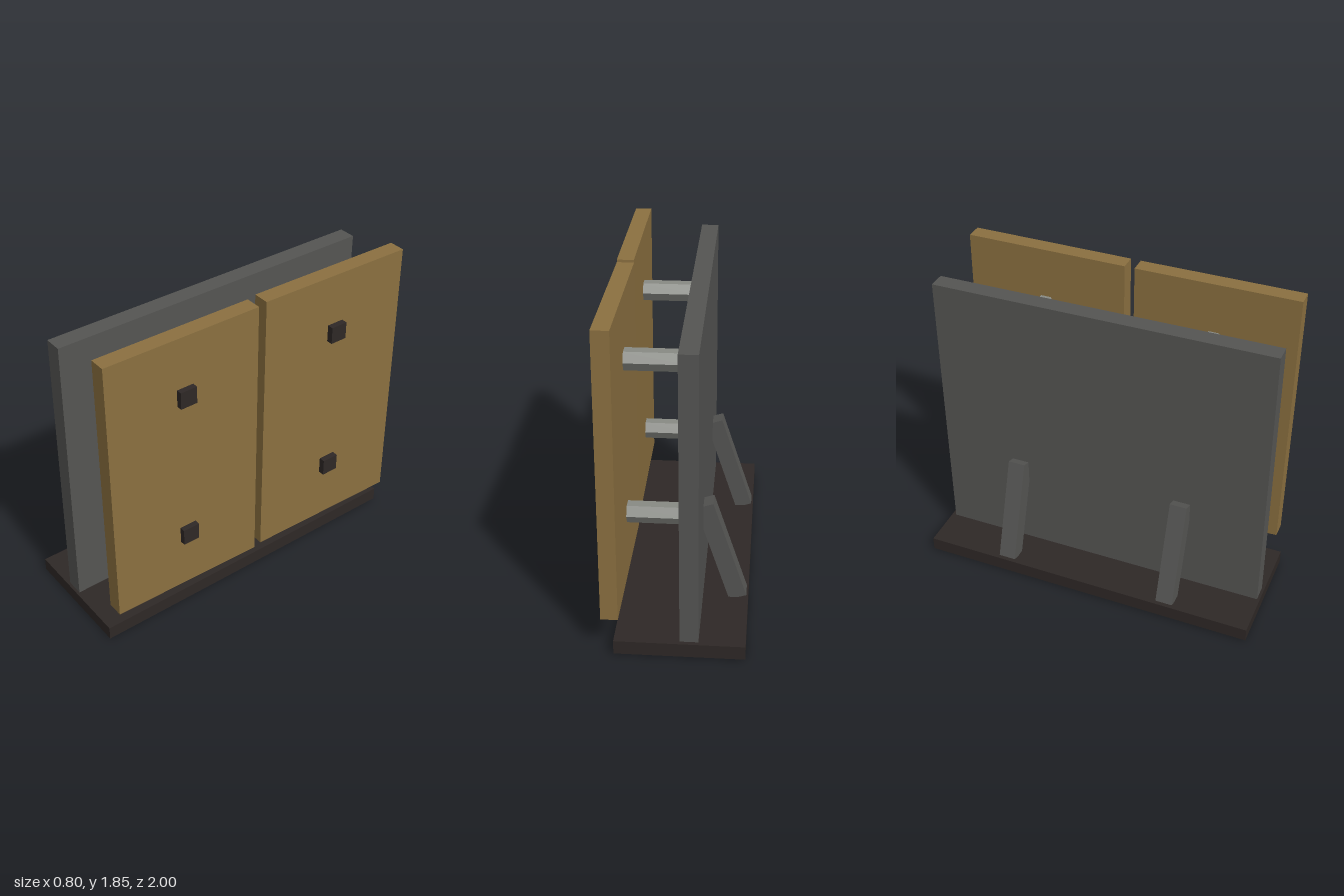
import * as THREE from 'three';

const paint = (color) => new THREE.MeshStandardMaterial({ color, flatShading: true });

export function createModel() {
  const model = new THREE.Group();
  const dark = paint(0x2e2826);
  const steel = paint(0x555553);
  const rodGrey = paint(0x888a84);
  const wood = paint(0x8b7040);

  function add(name, geometry, material, x, y, z) {
    const mesh = new THREE.Mesh(geometry, material);
    mesh.name = name;
    mesh.position.set(x, y, z);
    model.add(mesh);
    return mesh;
  }

  // Ground plate
  add('base', new THREE.BoxGeometry(0.7, 0.08, 2), dark, -0.05, 0.05, 0);

  // Upright wall, slightly out of true
  const wall = add('backPlate', new THREE.BoxGeometry(0.1, 1.74, 1.96), steel, -0.093, 0.88, 0);
  wall.rotation.set(-0.005, 0.005, -0.003);

  // Roughly cut timber panels: outline corners as [z, y], extruded along x
  function panel(name, corners, yaw, x) {
    const zMid = corners.reduce((sum, c) => sum + c[0], 0) / corners.length;
    const shape = new THREE.Shape(corners.map(([z, y]) => new THREE.Vector2(zMid - z, y)));
    const geometry = new THREE.ExtrudeGeometry(shape, { depth: 0.093, bevelEnabled: false });
    geometry.translate(0, 0, -0.0465).rotateY(Math.PI / 2);
    add(name, geometry, wood, x, 0, zMid).rotation.y = yaw;
  }
  panel('frontPanel', [[0.967, 0.235], [0.03, 0.21], [0.035, 1.845], [0.97, 1.85]], 0, 0.321);
  panel('rearPanel', [[-0.02, 0.215], [-0.97, 0.205], [-0.965, 1.845], [-0.02, 1.85]], -0.009, 0.318);

  for (const z of [-0.5, 0.5]) {
    // Hexagonal spacer rods and their square bolt heads
    for (const y of [0.59, 1.5]) {
      const rod = new THREE.CylinderGeometry(0.06, 0.06, 0.38, 6).rotateZ(Math.PI / 2);
      add('spacerRod', rod, rodGrey, 0.11, y, z);
      add('boltHead', new THREE.BoxGeometry(0.1, 0.1, 0.1), dark, 0.35, y, z);
    }
    // Slanted braces behind the wall
    const brace = add('brace', new THREE.BoxGeometry(0.1, 0.61, 0.1), steel, -0.2475, 0.38, z);
    brace.rotation.z = -0.3165;
  }

  return model;
}
